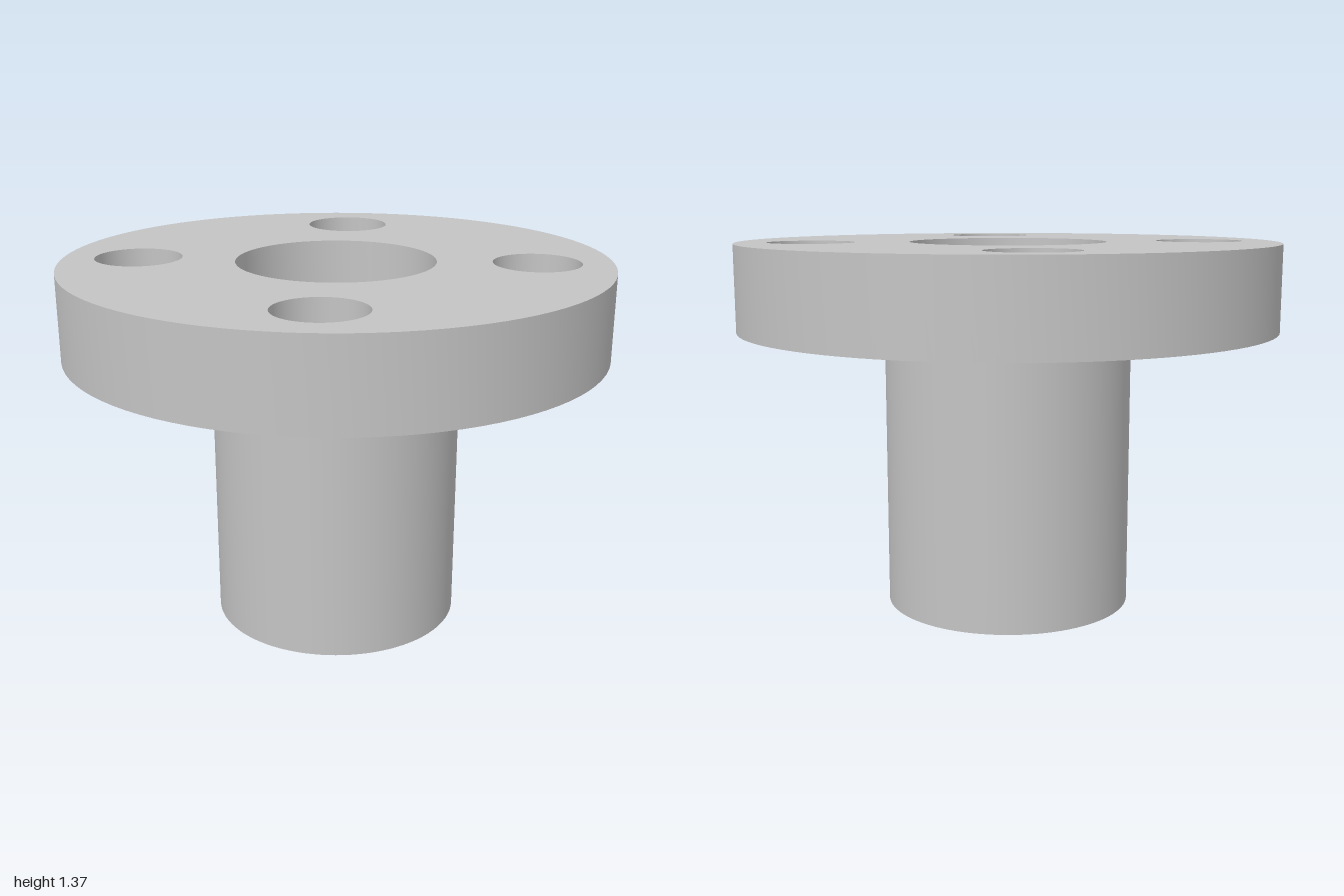
import * as THREE from 'three';
import { toCreasedNormals } from 'three/addons/utils/BufferGeometryUtils.js';

const BORE = 0.365, TUBE = 0.462, FLANGE = 1;
const FLANGE_BOTTOM = 1.05, FLANGE_TOP = 1.367;
const BOLT_RADIUS = 0.16, BOLT_OFFSET = 0.513;

function circle(PathType, x, y, r) {
  return new PathType().absarc(x, y, r, 0, Math.PI * 2, false);
}

export function createModel() {
  const model = new THREE.Group();
  model.name = 'flangedBushing';
  const steel = new THREE.MeshStandardMaterial({ color: 0xc4c4c4 });
  steel.name = 'light grey steel';

  // Flange disc with the central bore and four bolt holes
  const disc = circle(THREE.Shape, 0, 0, FLANGE);
  disc.holes.push(circle(THREE.Path, 0, 0, BORE));
  for (const sx of [-1, 1]) {
    for (const sy of [-1, 1]) {
      disc.holes.push(circle(THREE.Path, sx * BOLT_OFFSET, sy * BOLT_OFFSET, BOLT_RADIUS));
    }
  }
  const flangeGeometry = new THREE.ExtrudeGeometry(disc, {
    depth: FLANGE_TOP - FLANGE_BOTTOM, bevelEnabled: false, curveSegments: 48,
  });
  flangeGeometry.rotateX(-Math.PI / 2).translate(0, FLANGE_BOTTOM, 0);
  const flange = new THREE.Mesh(toCreasedNormals(flangeGeometry, 0.6), steel);
  flange.name = 'flange';
  model.add(flange);

  // Hollow tube: inner wall, bottom rim, outer wall
  const profile = [
    [BORE, FLANGE_BOTTOM], [BORE, 0], [TUBE, 0], [TUBE, FLANGE_BOTTOM],
  ].map(([r, y]) => new THREE.Vector2(r, y));
  const tubeGeometry = new THREE.LatheGeometry(profile, 96);
  const tube = new THREE.Mesh(toCreasedNormals(tubeGeometry, 0.6), steel);
  tube.name = 'tube';
  model.add(tube);

  return model;
}
